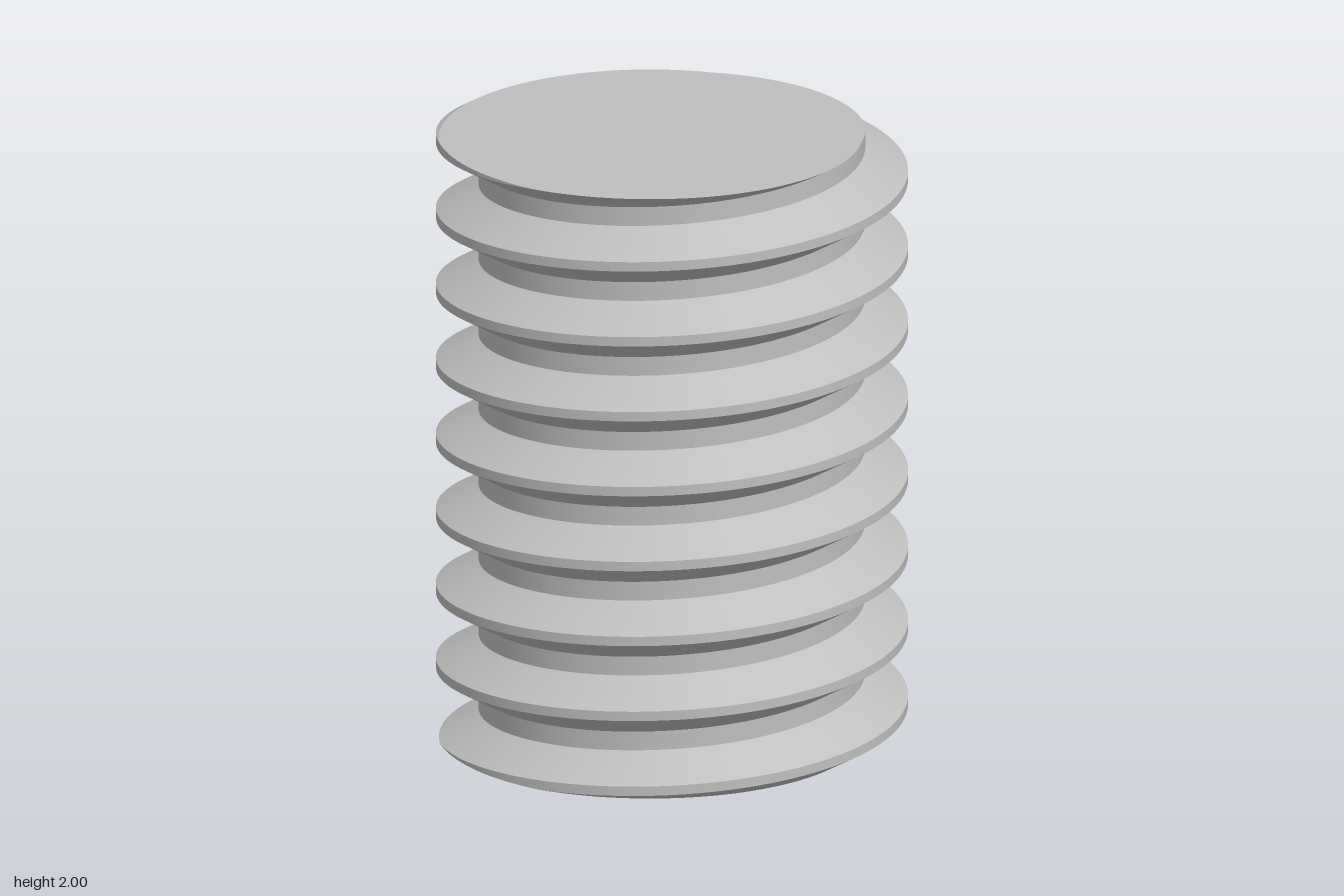
import * as THREE from 'three';

const HEIGHT = 2, PITCH = 0.25, CREST = 0.75, ROOT = 0.614, SEGMENTS = 160;
const CREST_HALF = PITCH / 16, ROOT_HALF = PITCH / 8;
const FLANK = PITCH / 2 - CREST_HALF - ROOT_HALF;
const SLOPE = (CREST - ROOT) / FLANK;

// Thread radius at a turn angle and height; the crest starts at -x on the base
function radiusAt(angle, y) {
  const u = y / PITCH - angle / (2 * Math.PI);
  const d = Math.abs(u - Math.round(u)) * PITCH;
  return CREST - SLOPE * THREE.MathUtils.clamp(d - CREST_HALF, 0, FLANK);
}

function pointAt(angle, y, r = radiusAt(angle, y)) {
  return new THREE.Vector3(-Math.cos(angle) * r, y, Math.sin(angle) * r);
}

// One helical face swept around all turns, trimmed flat at both ends
function bandGeometry(from, to, slope) {
  const positions = [], normals = [];
  const corner = (i, turn, offset) => {
    const a = (i / SEGMENTS) * 2 * Math.PI;
    const y = THREE.MathUtils.clamp((turn + i / SEGMENTS) * PITCH + offset, 0, HEIGHT);
    const r = radiusAt(a, y);
    const t = (PITCH * slope) / (2 * Math.PI * r);
    const n = new THREE.Vector3(
      -Math.cos(a) + t * Math.sin(a), -slope, Math.sin(a) + t * Math.cos(a)).normalize();
    return { p: pointAt(a, y, r), n };
  };
  const triangle = (...corners) => {
    const [a, b, c] = corners.map((v) => v.p);
    if (new THREE.Triangle(a, b, c).getArea() < 1e-9) return;
    for (const { p, n } of corners) {
      positions.push(p.x, p.y, p.z);
      normals.push(n.x, n.y, n.z);
    }
  };
  for (let turn = -2; turn <= HEIGHT / PITCH + 1; turn++) {
    for (let i = 0; i < SEGMENTS; i++) {
      const a = corner(i, turn, from), b = corner(i + 1, turn, from);
      const c = corner(i + 1, turn, to), d = corner(i, turn, to);
      triangle(a, b, c);
      triangle(a, c, d);
    }
  }
  const geometry = new THREE.BufferGeometry();
  geometry.setAttribute('position', new THREE.Float32BufferAttribute(positions, 3));
  geometry.setAttribute('normal', new THREE.Float32BufferAttribute(normals, 3));
  return geometry;
}

// Flat end whose outline is the cut through the thread
function capGeometry(y, up) {
  const points = [];
  for (let i = 0; i < SEGMENTS; i++) {
    const a = pointAt((i / SEGMENTS) * 2 * Math.PI, y);
    const b = pointAt(((i + 1) / SEGMENTS) * 2 * Math.PI, y);
    points.push(new THREE.Vector3(0, y, 0), ...(up ? [a, b] : [b, a]));
  }
  const geometry = new THREE.BufferGeometry().setFromPoints(points);
  geometry.computeVertexNormals();
  return geometry;
}

export function createModel() {
  const steel = new THREE.MeshStandardMaterial({ color: 0xbfbfbf });
  steel.name = 'steel grey';
  const group = new THREE.Group();
  group.name = 'threadedRod';
  const add = (name, geometry) => {
    const mesh = new THREE.Mesh(geometry, steel);
    mesh.name = name;
    group.add(mesh);
  };

  // Thread faces
  const flankEnd = CREST_HALF + FLANK;
  add('threadCrest', bandGeometry(-CREST_HALF, CREST_HALF, 0));
  add('threadUpperFlank', bandGeometry(CREST_HALF, flankEnd, -SLOPE));
  add('threadRoot', bandGeometry(flankEnd, PITCH - flankEnd, 0));
  add('threadLowerFlank', bandGeometry(-flankEnd, -CREST_HALF, SLOPE));

  // Cut ends
  add('topEnd', capGeometry(HEIGHT, true));
  add('bottomEnd', capGeometry(0, false));
  return group;
}
